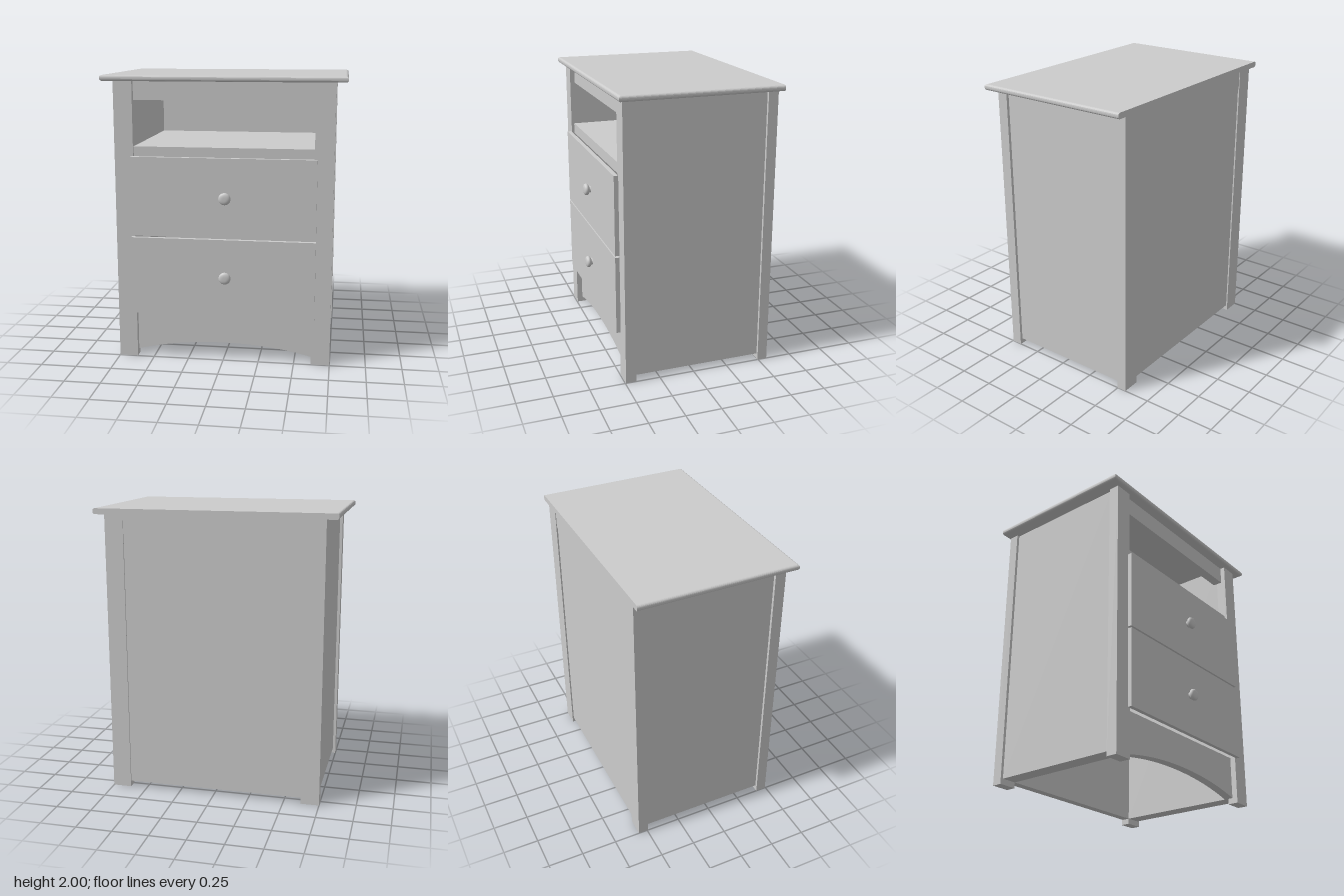
import * as THREE from 'three';

export function createModel() {
  const model = new THREE.Group();
  const material = new THREE.MeshStandardMaterial({ color: 0xcccccc });

  function add(name, geometry) {
    const mesh = new THREE.Mesh(geometry, material);
    mesh.name = name;
    model.add(mesh);
    return mesh;
  }

  // Box given by its limits on each axis
  function box(name, [x0, x1], [y0, y1], [z0, z1]) {
    const mesh = add(name, new THREE.BoxGeometry(x1 - x0, y1 - y0, z1 - z0));
    mesh.position.set((x0 + x1) / 2, (y0 + y1) / 2, (z0 + z1) / 2);
    return mesh;
  }

  const inner = 0.62, outer = 0.75, top = 1.96;

  // Corner posts and side panels, mirrored
  for (const [label, s] of [['left', 1], ['right', -1]]) {
    const span = (a, b) => (s > 0 ? [a, b] : [-b, -a]);
    box(label + 'FrontPost', span(inner, outer), [0, top], [0.42, 0.495]);
    box(label + 'BackPost', span(inner, outer), [0, top], [-0.565, -0.495]);
    box(label + 'SidePanel', span(inner, outer - 0.02), [0.04, top], [-0.495, 0.42]);
  }

  // Back panel with its upper rail
  box('backPanel', [-inner, inner], [0.04, 1.83], [-0.555, -0.495]);
  box('backRail', [-inner, inner], [1.83, top], [-0.56, -0.495]);

  // Open compartment: rail above, shelf below
  box('frontRail', [-inner, inner], [1.83, top], [0.39, 0.46]);
  box('shelf', [-inner, inner], [1.44, 1.515], [-0.495, 0.475]);

  // Apron with an arched lower edge
  const apron = new THREE.Shape();
  apron.moveTo(-inner, 0.04);
  apron.lineTo(-inner, 0.34);
  apron.lineTo(inner, 0.34);
  apron.lineTo(inner, 0.04);
  apron.bezierCurveTo(0.25, 0.14, -0.25, 0.14, -inner, 0.04);
  const apronGeometry = new THREE.ExtrudeGeometry(apron, {
    depth: 0.065, bevelEnabled: false, curveSegments: 32,
  });
  apronGeometry.translate(0, 0, 0.39);
  add('apron', apronGeometry);

  // Tabletop: bullnose at the front and sides, cut flat at the back
  const bevel = 0.016, halfWidth = 0.83 - bevel;
  const front = 0.538 - bevel, back = -0.573;
  const slab = new THREE.Shape();
  slab.moveTo(-halfWidth, -front);
  slab.lineTo(halfWidth, -front);
  slab.lineTo(halfWidth, -back);
  slab.lineTo(-halfWidth, -back);
  slab.closePath();
  const slabGeometry = new THREE.ExtrudeGeometry(slab, {
    depth: 0.04 - 2 * bevel, bevelThickness: bevel, bevelSize: bevel, bevelSegments: 4,
  });
  slabGeometry.rotateX(-Math.PI / 2);
  slabGeometry.translate(0, top + bevel, 0);
  const p = slabGeometry.attributes.position;
  for (let i = 0; i < p.count; i++) p.setZ(i, Math.max(p.getZ(i), back));
  slabGeometry.computeVertexNormals();
  add('tabletop', slabGeometry);

  // Round knob: a narrow stem flaring into a flattened ball
  const knobProfile = new THREE.SplineCurve([
    [0.026, 0], [0.023, 0.01], [0.036, 0.018], [0.042, 0.03],
    [0.036, 0.043], [0.02, 0.049], [0, 0.05],
  ].map(([r, h]) => new THREE.Vector2(r, h))).getPoints(20);
  knobProfile[knobProfile.length - 1].x = 0;
  const knobGeometry = new THREE.LatheGeometry(knobProfile, 32);
  knobGeometry.rotateX(Math.PI / 2);

  // Drawer fronts, overlapping the posts, each with a knob
  for (const [label, y0, y1, knobY] of [
    ['lower', 0.335, 0.885, 0.62],
    ['upper', 0.898, 1.45, 1.178],
  ]) {
    box(label + 'DrawerFront', [-0.64, 0.64], [y0, y1], [0.495, 0.525]);
    add(label + 'Knob', knobGeometry).position.set(0.02, knobY, 0.523);
  }

  return model;
}
